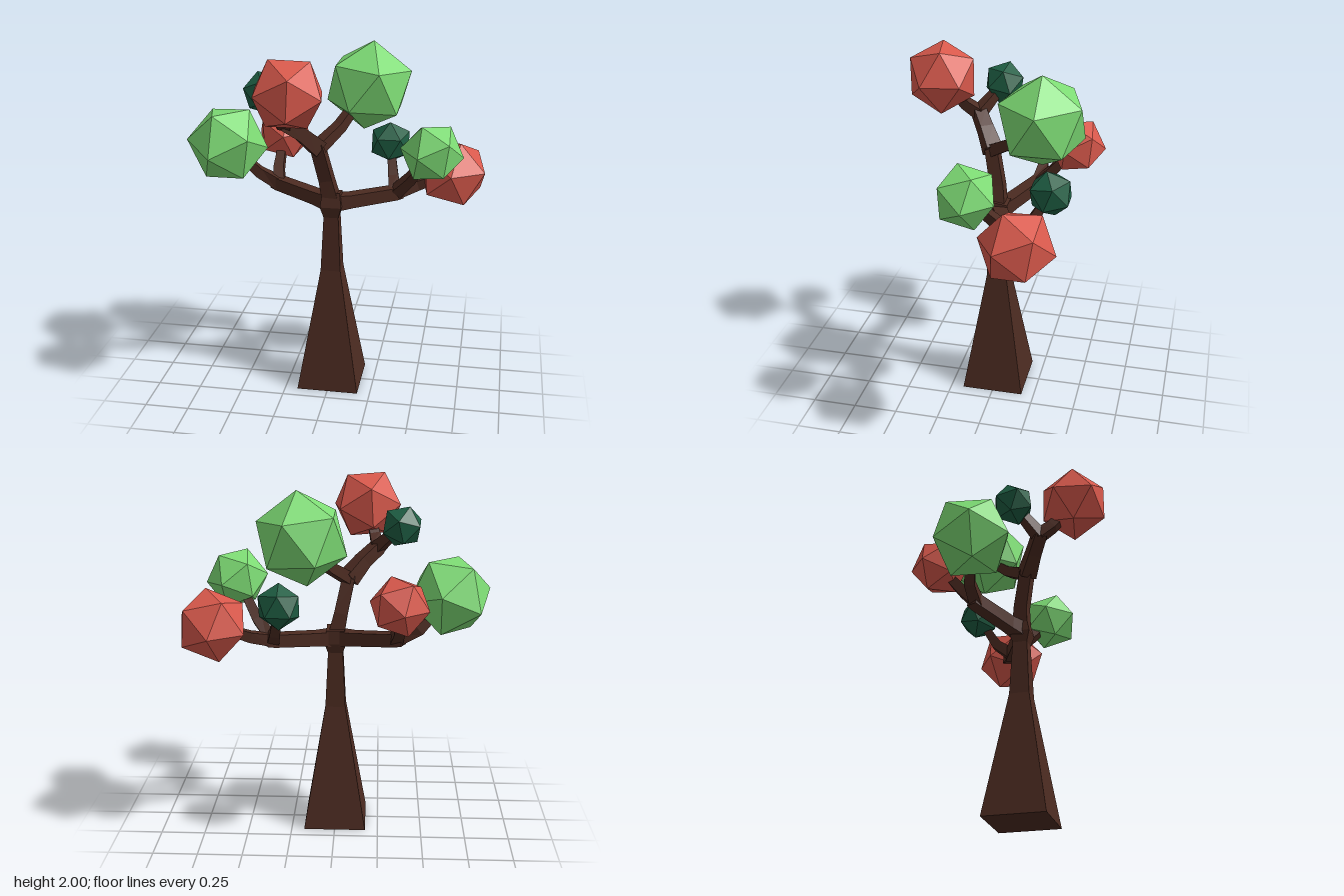
import * as THREE from 'three';

const V = (x, y, z) => new THREE.Vector3(x, y, z);
const mat = (color) => new THREE.MeshStandardMaterial({ color, flatShading: true });

// Square-section limb along a path, capped at both ends; widths are half-widths per point
function limb(name, path, widths, material) {
  const span = path[path.length - 1].clone().sub(path[0]).normalize();
  const ref = span.y > 0.7 ? V(1, 0, 0) : V(0, 1, 0);
  const rings = path.map((c, i) => {
    const t = path[Math.min(i + 1, path.length - 1)].clone().sub(path[Math.max(i - 1, 0)]).normalize();
    const u = ref.clone().addScaledVector(t, -ref.dot(t)).normalize().multiplyScalar(widths[i]);
    const w = t.cross(u);
    return [0, 1, 2, 3].map((k) => c.clone()
      .addScaledVector(u, k === 0 || k === 3 ? 1 : -1)
      .addScaledVector(w, k < 2 ? 1 : -1));
  });
  const out = [];
  const quad = (a, b, c, d) => [a, b, c, a, c, d].forEach((v) => out.push(v.x, v.y, v.z));
  for (let i = 0; i < rings.length - 1; i++) {
    for (let k = 0; k < 4; k++) {
      const n = (k + 1) % 4;
      quad(rings[i][k], rings[i][n], rings[i + 1][n], rings[i + 1][k]);
    }
  }
  quad(...rings[0].slice().reverse());
  quad(...rings[rings.length - 1]);
  const g = new THREE.BufferGeometry();
  g.setAttribute('position', new THREE.Float32BufferAttribute(out, 3));
  g.computeVertexNormals();
  const mesh = new THREE.Mesh(g, material);
  mesh.name = name;
  return mesh;
}

// Icosahedron turned so that two neighbouring corners point along a and b
function foliage(name, centre, r, a, b, material) {
  const mesh = new THREE.Mesh(new THREE.IcosahedronGeometry(r, 0), material);
  a.normalize();
  b.normalize();
  const x = b.clone().sub(a).normalize();
  const y = a.clone().add(b).normalize();
  mesh.quaternion.setFromRotationMatrix(new THREE.Matrix4().makeBasis(x, y, x.clone().cross(y)));
  mesh.position.copy(centre);
  mesh.name = name;
  return mesh;
}

export function createModel() {
  const tree = new THREE.Group();
  tree.name = 'tree';
  const bark = mat(0x4c2b21), red = mat(0xd9594c), light = mat(0x7ddb74), dark = mat(0x1e5e43);

  // Points where limbs divide
  const hub = V(0, 1.12, 0);
  const leftFork = V(0.34, 1.145, -0.15);
  const rightFork = V(-0.34, 1.16, -0.165);
  const upperFork = V(-0.07, 1.45, 0.05);
  const frontFork = V(-0.23, 1.605, 0.165);

  // Trunk flaring to the base, with a knot where the boughs meet
  tree.add(limb('trunk', [V(0, 0, 0), V(0, 0.72, 0), V(0, 1.04, 0), V(0, 1.1, 0), V(0, 1.18, -0.01)],
    [0.177, 0.057, 0.042, 0.06, 0.05], bark));

  // Boughs from the knot to the forks
  const bough = (name, from, bend, to) =>
    tree.add(limb(name, [from, bend, to, to.clone().lerp(bend, -0.15)], [0.046, 0.038, 0.036, 0.032], bark));
  bough('leftBough', hub, V(0.1, 1.125, -0.04), leftFork);
  bough('rightBough', hub, V(-0.1, 1.13, -0.05), rightFork);
  bough('upperBough', hub, V(-0.03, 1.26, 0.01), upperFork);
  bough('frontBough', upperFork, V(-0.15, 1.54, 0.11), frontFork);

  // Each branch bends once and ends inside its clump of foliage
  const branch = (name, fork, bend, centre, r, a, b, material) => {
    tree.add(limb(name + 'Branch', [fork, bend, centre], [0.034, 0.029, 0.02], bark));
    tree.add(foliage(name + 'Foliage', centre, r, a, b, material));
  };
  branch('rightGreen', rightFork, V(-0.46, 1.22, -0.17), V(-0.628, 1.4, -0.113), 0.233,
    V(0.22, -0.03, -0.057), V(0.055, 0.035, -0.221), light);
  branch('rightRed', rightFork, V(-0.355, 1.23, -0.24), V(-0.35, 1.405, -0.383), 0.165,
    V(0.155, 0, 0.045), V(0.03, 0.15, 0.05), red);
  branch('topRed', frontFork, V(-0.215, 1.66, 0.24), V(-0.17, 1.82, 0.358), 0.206,
    V(-0.095, 0.18, 0.016), V(0.117, 0.172, -0.02), red);
  branch('topDark', frontFork, V(-0.28, 1.66, 0.12), V(-0.365, 1.747, 0.047), 0.122,
    V(0.02, 0.045, -0.11), V(-0.04, 0.113, -0.024), dark);
  branch('topGreen', upperFork, V(0.03, 1.54, -0.08), V(0.167, 1.735, -0.27), 0.256,
    V(0.02, 0.255, 0), V(0.24, 0.085, 0), light);
  branch('leftGreen', leftFork, V(0.43, 1.25, -0.1), V(0.555, 1.45, 0.042), 0.174,
    V(-0.17, 0.015, 0.01), V(-0.045, 0.155, 0.055), light);
  branch('leftRed', leftFork, V(0.46, 1.18, -0.21), V(0.66, 1.253, -0.242), 0.205,
    V(0, 0.03, 0.2), V(0.04, 0.19, 0.063), red);
  branch('leftDark', leftFork, V(0.32, 1.21, -0.24), V(0.287, 1.387, -0.345), 0.126,
    V(0, 0.12, 0.024), V(0.105, 0.06, -0.024), dark);
  return tree;
}
